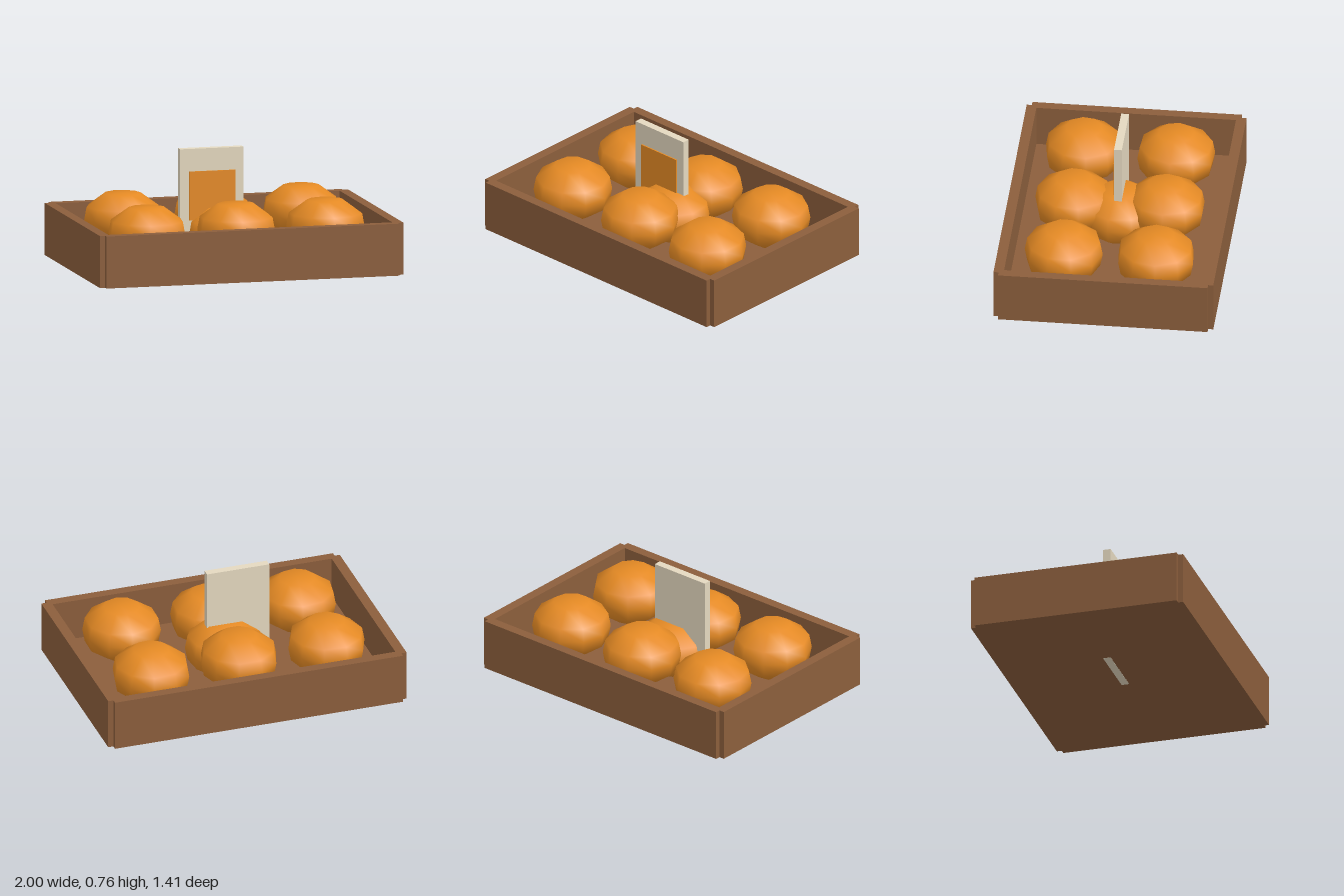
import * as THREE from 'three';

const wood = new THREE.MeshStandardMaterial({ name: 'crate wood', color: 0x8b5e3c });
const orange = new THREE.MeshStandardMaterial({ name: 'orange', color: 0xe58a24 });
const card = new THREE.MeshStandardMaterial({ name: 'pale card', color: 0xe4d8bf });

export function createModel() {
  const model = new THREE.Group();
  model.name = 'fruitCrate';

  // Box given by its lower and upper corners
  function box(name, material, [x0, y0, z0], [x1, y1, z1]) {
    const mesh = new THREE.Mesh(new THREE.BoxGeometry(x1 - x0, y1 - y0, z1 - z0), material);
    mesh.position.set((x0 + x1) / 2, (y0 + y1) / 2, (z0 + z1) / 2);
    mesh.name = name;
    model.add(mesh);
  }

  // Open crate: floor and four walls that leave small corner notches
  const rim = 0.335;
  box('crateFloor', wood, [-0.95, 0, -0.66], [0.95, 0.06, 0.66]);
  box('frontWall', wood, [-0.965, 0, 0.638], [0.965, rim, 0.703]);
  box('backWall', wood, [-0.965, 0, -0.703], [0.965, rim, -0.638]);
  box('leftWall', wood, [0.935, 0, -0.67], [1, rim, 0.67]);
  box('rightWall', wood, [-1, 0, -0.67], [-0.935, rim, 0.67]);

  // Low-poly fruit with a flattened top, profile from bottom to top
  const profile = [[0, -0.17], [0.117, -0.17], [0.234, -0.085], [0.25, 0], [0.234, 0.085], [0.117, 0.17], [0, 0.17]];
  const fruitGeometry = new THREE.LatheGeometry(profile.map(([r, y]) => new THREE.Vector2(r, y)), 10);
  function fruit(x, y, z, turn) {
    const mesh = new THREE.Mesh(fruitGeometry, orange);
    mesh.position.set(x, y, z);
    mesh.rotation.y = turn;
    mesh.name = 'fruit';
    model.add(mesh);
  }
  let count = 0;
  for (const z of [-0.295, 0.295]) {
    for (const x of [-0.588, 0, 0.588]) fruit(x, 0.272, z, 0.25 + 0.7 * count++);
  }
  fruit(0, 0.207, 0, 0.1);

  // Upright price card with a plain coloured panel
  box('signBoard', card, [-0.295, -0.001, -0.025], [0.122, 0.76, 0.025]);
  box('signPanel', orange, [-0.237, 0.3, 0.025], [0.067, 0.615, 0.034]);

  return model;
}
